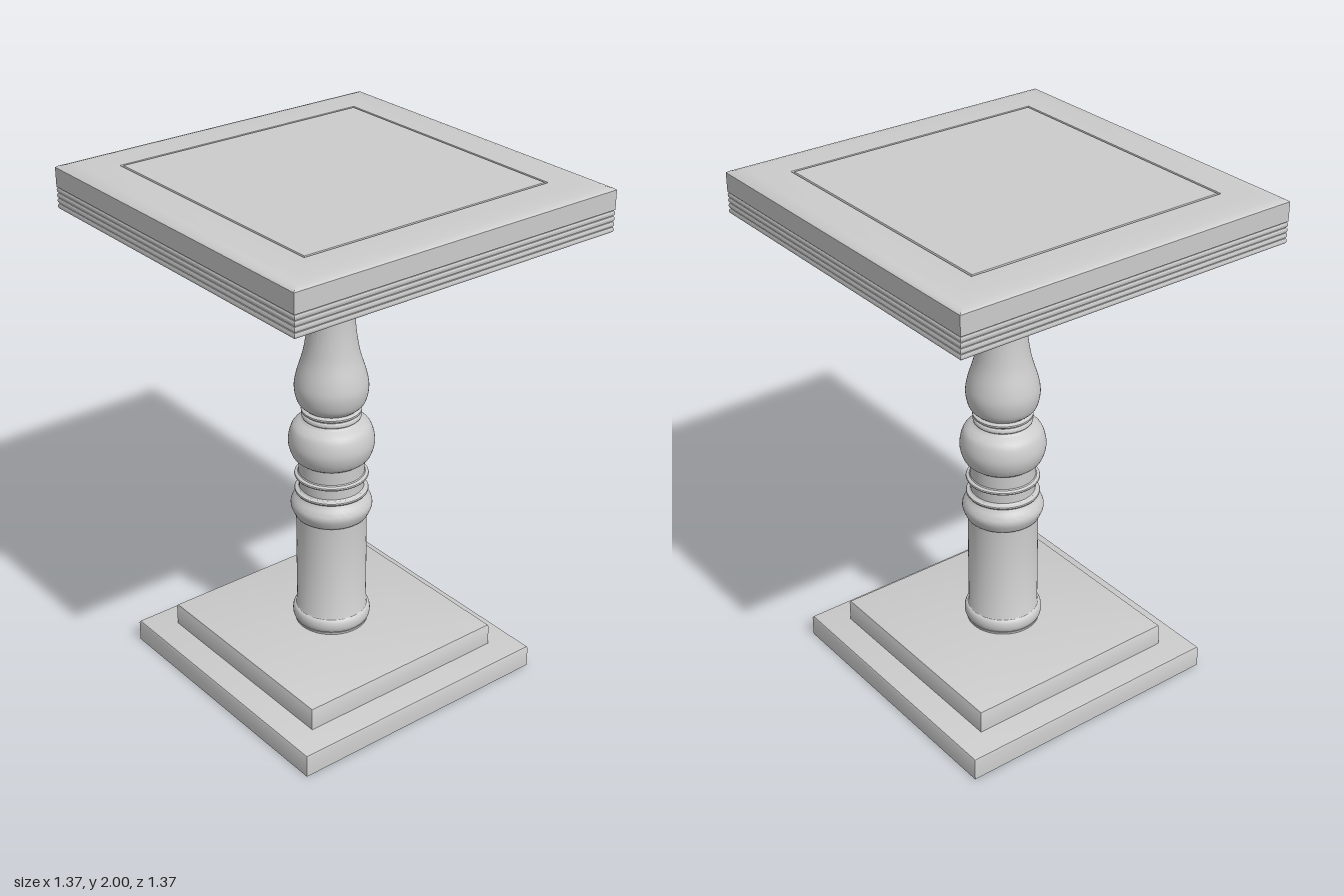
import * as THREE from 'three';
import { toCreasedNormals } from 'three/addons/utils/BufferGeometryUtils.js';

const material = new THREE.MeshStandardMaterial({ color: 0xcccccc, side: THREE.DoubleSide });

// Revolves a [radius, y] profile, listed from bottom to top
function turned(name, profile, sides = 56) {
  const points = profile.map(([r, y]) => new THREE.Vector2(r, y));
  const geometry = toCreasedNormals(new THREE.LatheGeometry(points, sides), 0.6);
  const mesh = new THREE.Mesh(geometry, material);
  mesh.name = name;
  return mesh;
}

// Square slab with a moulded edge: a four-sided lathe, profile is [half width, y]
function square(name, profile) {
  const mesh = turned(name, profile.map(([h, y]) => [h * Math.SQRT2, y]), 4);
  mesh.geometry.rotateY(Math.PI / 4);
  return mesh;
}

// Half-round moulding from y0 to y1 swelling from radius r by depth d
function bead(r, d, y0, y1, steps = 8) {
  return Array.from({ length: steps + 1 }, (_, i) => {
    const a = (Math.PI * i) / steps;
    return [r + d * Math.sin(a), (y0 + y1) / 2 - ((y1 - y0) / 2) * Math.cos(a)];
  });
}

// Smooth curve through a few profile points
function swell(points, steps) {
  const curve = new THREE.SplineCurve(points.map(([r, y]) => new THREE.Vector2(r, y)));
  return curve.getPoints(steps).map((p) => [p.x, p.y]);
}

// Plinth step with softened top edge, open underneath
function step(name, half, y0, y1) {
  const e = 0.01;
  return square(name, [
    [half, y0], [half, y1 - e], [half - 0.3 * e, y1 - 0.3 * e], [half - e, y1], [0, y1],
  ]);
}

export function createModel() {
  const group = new THREE.Group();
  group.name = 'pedestalTable';

  // Two-step plinth
  group.add(step('lowerPlinth', 0.545, 0, 0.09));
  group.add(step('upperPlinth', 0.435, 0.09, 0.18));

  // Shaft with foot moulding
  group.add(turned('shaft', [
    [0.14, 0.18], [0.142, 0.19],
    ...bead(0.137, 0.013, 0.19, 0.245),
    [0.134, 0.25], [0.134, 0.65],
  ]));

  // Collar with swelling and two thin rings
  group.add(turned('ringedCollar', [
    [0.134, 0.65], [0.14, 0.655],
    ...swell([[0.14, 0.655], [0.154, 0.69], [0.15, 0.715], [0.132, 0.74]], 10),
    [0.127, 0.75],
    ...bead(0.127, 0.013, 0.75, 0.767, 6),
    [0.122, 0.772], [0.122, 0.81],
    ...bead(0.127, 0.013, 0.814, 0.831, 6),
    [0.124, 0.835], [0.124, 0.887],
  ]));

  // Flattened ball
  group.add(turned('ball', swell([
    [0.124, 0.887], [0.148, 0.91], [0.162, 0.965], [0.147, 1.025], [0.112, 1.053],
  ], 20)));

  // Neck rings between ball and vase
  group.add(turned('neckRings', [
    [0.112, 1.053], [0.104, 1.06],
    ...bead(0.104, 0.008, 1.062, 1.082, 6),
    [0.104, 1.084], [0.113, 1.09], [0.113, 1.097], [0.1, 1.103],
  ]));

  // Vase-shaped baluster
  group.add(turned('baluster', swell([
    [0.1, 1.103], [0.126, 1.13], [0.138, 1.185], [0.13, 1.24],
    [0.106, 1.32], [0.092, 1.4], [0.086, 1.47], [0.083, 1.548],
  ], 32)));

  // Capital: ring, waist and top block
  group.add(turned('capital', [
    [0.083, 1.548],
    ...bead(0.088, 0.01, 1.55, 1.575, 6),
    [0.1, 1.58], [0.098, 1.588],
    ...swell([[0.09, 1.592], [0.071, 1.606], [0.068, 1.618], [0.09, 1.635]], 8),
    [0.104, 1.641], [0.107, 1.65], [0.107, 1.835],
  ]));

  // Table top: reeded edge, rounded upper rim and an inlaid groove line
  const reeds = [0, 1, 2, 3].flatMap((i) => bead(0.681, 0.006, 1.83 + i * 0.02, 1.85 + i * 0.02, 6));
  group.add(square('tableTop', [
    [0, 1.83], ...reeds,
    [0.687, 1.912], [0.687, 1.984], [0.68, 1.989], [0.66, 1.995], [0.63, 2],
    [0.523, 2], [0.521, 1.994], [0.516, 1.994], [0.514, 2], [0, 2],
  ]));

  return group;
}
